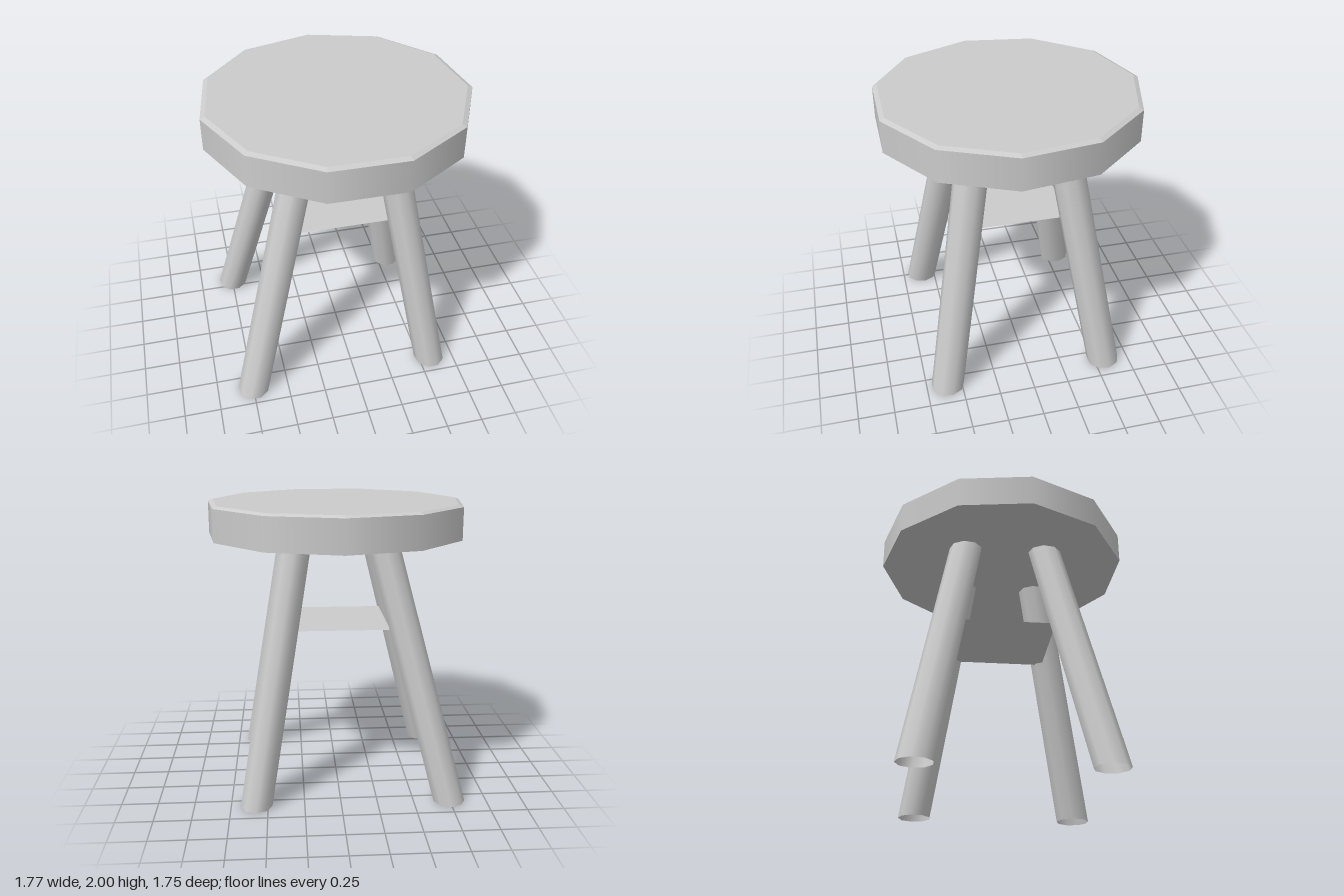
import * as THREE from 'three';

const SEAT_BOTTOM = 1.767, SEAT_EDGE = 1.986, SEAT_TOP = 2;
const CENTRE_Z = 0.015;

export function createModel() {
  const model = new THREE.Group();
  const material = new THREE.MeshStandardMaterial({ color: 0xcccccc });
  const openMaterial = new THREE.MeshStandardMaterial({ color: 0xcccccc, side: THREE.DoubleSide });

  const add = (parent, name, geometry, mat = material) => {
    const mesh = new THREE.Mesh(geometry, mat);
    mesh.name = name;
    parent.add(mesh);
    return mesh;
  };

  // Seat: eleven-sided slab, one corner pointing to the back, with a shallow bevel
  const seat = new THREE.Group();
  seat.name = 'seat';
  seat.position.z = CENTRE_Z;
  model.add(seat);
  const sides = 11, radius = 0.894, topRadius = 0.862;
  const ring = (rTop, rBottom, y0, y1) =>
    new THREE.CylinderGeometry(rTop, rBottom, y1 - y0, sides, 1, true, Math.PI)
      .translate(0, (y0 + y1) / 2, 0);
  // dir is 1 for a disc facing up, -1 for one facing down
  const disc = (r, y, dir) =>
    new THREE.CircleGeometry(r, sides, dir * Math.PI / 2)
      .rotateX(-dir * Math.PI / 2).translate(0, y, 0);
  add(seat, 'seatSide', ring(radius, radius, SEAT_BOTTOM, SEAT_EDGE));
  const bevel = ring(topRadius, radius, SEAT_EDGE, SEAT_TOP).toNonIndexed();
  bevel.computeVertexNormals();
  add(seat, 'seatBevel', bevel);
  add(seat, 'seatTop', disc(topRadius, SEAT_TOP, 1));
  add(seat, 'seatUnderside', disc(radius, SEAT_BOTTOM, -1));

  // Legs: open nine-sided tubes, sheared outwards so both ends stay level
  const leg = (bottom, top) => {
    const geometry = new THREE.CylinderGeometry(1, 1, SEAT_BOTTOM, 9, 1, true, Math.PI)
      .scale(0.109, 1, 0.117).translate(0, SEAT_BOTTOM / 2, 0);
    const kx = (top[0] - bottom[0]) / SEAT_BOTTOM, kz = (top[1] - bottom[1]) / SEAT_BOTTOM;
    return geometry.applyMatrix4(new THREE.Matrix4().set(
      1, kx, 0, bottom[0],
      0, 1, 0, 0,
      0, kz, 1, bottom[1],
      0, 0, 0, 1));
  };
  for (const [sideName, xBottom, xTop] of [['Left', 0.578, 0.285], ['Right', -0.745, -0.292]]) {
    for (const [endName, zBottom, zTop] of [['front', 0.6, 0.302], ['back', -0.567, -0.272]]) {
      add(model, `${endName}${sideName}Leg`, leg([xBottom, zBottom], [xTop, zTop]), openMaterial);
    }
  }

  // Thin square shelf between the legs
  const shelf = new THREE.PlaneGeometry(0.69, 0.69).rotateX(-Math.PI / 2);
  add(model, 'shelf', shelf, openMaterial).position.set(-0.005, 1.16, CENTRE_Z);

  return model;
}
